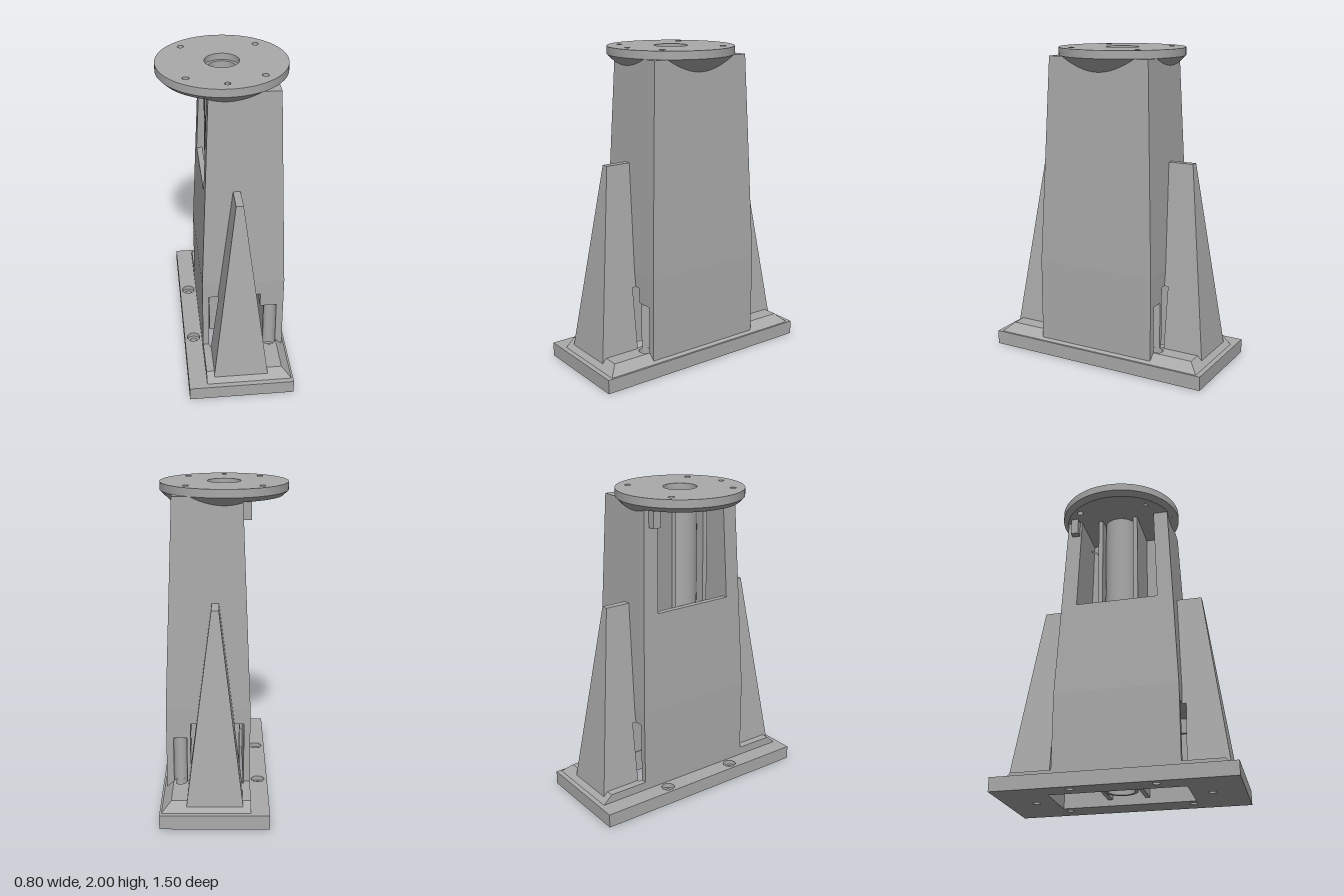
import * as THREE from 'three';
import { toCreasedNormals } from 'three/addons/utils/BufferGeometryUtils.js';

export function createModel() {
  const group = new THREE.Group();
  const grey = new THREE.MeshStandardMaterial({ color: 0xaaaaaa, side: THREE.DoubleSide });

  const add = (name, geometry) => {
    const mesh = new THREE.Mesh(toCreasedNormals(geometry, 0.5), grey);
    mesh.name = name;
    group.add(mesh);
    return mesh;
  };

  // Move every vertex by a rule
  const warp = (geometry, rule) => {
    const p = geometry.attributes.position;
    const v = new THREE.Vector3();
    for (let i = 0; i < p.count; i++) {
      rule(v.fromBufferAttribute(p, i));
      p.setXYZ(i, v.x, v.y, v.z);
    }
    geometry.computeVertexNormals();
    return geometry;
  };

  // Plan outlines, drawn as (x, -z)
  const polygon = (points) => new THREE.Shape(points.map(([x, y]) => new THREE.Vector2(x, y)));
  const rect = (x0, x1, z) => polygon([[x0, -z], [x1, -z], [x1, z], [x0, z]]);
  const circle = (x, z, r) => new THREE.Shape().absarc(x, -z, r, 0, Math.PI * 2, false);
  const pairs = (x, z, r) => [circle(x, z, r), circle(x, -z, r)];

  // Vertical slab from a plan outline
  const slab = (shape, holes, y0, y1, segments = 16) => {
    shape.holes = holes;
    const g = new THREE.ExtrudeGeometry(shape, { depth: y1 - y0, bevelEnabled: false, curveSegments: segments });
    return g.rotateX(-Math.PI / 2).translate(0, y0, 0);
  };

  const shaft = () => rect(-0.125, 0.21, 0.425);

  // Base plate with bolt holes and counterbores
  add('basePlateLower', slab(rect(-0.28, 0.39, 0.75),
    [shaft(), ...pairs(0.275, 0.4, 0.024), ...pairs(-0.22, 0.26, 0.024), ...pairs(0.04, 0.55, 0.024)], 0, 0.06));
  add('basePlateUpper', slab(rect(-0.28, 0.39, 0.75),
    [shaft(), ...pairs(0.275, 0.4, 0.024), ...pairs(-0.22, 0.26, 0.042)], 0.06, 0.09));

  // Plinth, sloped on three sides
  add('plinth', warp(slab(rect(-0.165, 0.378, 0.718), [shaft(), ...pairs(0.275, 0.4, 0.042)], 0.09, 0.145), (v) => {
    if (v.y < 0.14) return;
    if (v.x > 0.35) v.x = 0.32;
    if (Math.abs(v.z) > 0.6) v.z = Math.sign(v.z) * 0.66;
  }));

  // Lower tower: two side walls beside the open shaft
  const notched = new THREE.Shape();
  notched.moveTo(0.21, -0.4);
  notched.absarc(0.275, -0.4, 0.042, Math.PI, 0, true);
  notched.lineTo(0.362, -0.4);
  notched.lineTo(0.362, 0.4);
  notched.absarc(0.275, 0.4, 0.042, 0, -Math.PI, true);
  notched.lineTo(0.21, 0.4);
  add('lowerWallNotched', slab(notched, [], 0.1, 0.445));
  add('lowerWallRight', slab(rect(0.21, 0.362, 0.4), [], 0.445, 0.54));
  add('lowerWallLeft', slab(rect(-0.165, -0.125, 0.4), [], 0.09, 0.54));

  // Upper tower: hollow, tapering, with a tall opening in the -x face
  const taper = (v) => {
    const t = Math.max(0, (v.y - 0.64) / 1.31);
    v.x = 0.1 + (v.x - 0.1) * (1 - 0.2 * t);
    v.z *= 1 - 0.1375 * t;
  };
  const outline = () => rect(-0.165, 0.362, 0.4);
  const cavity = () => rect(-0.125, 0.25, 0.29);
  add('towerCollar', slab(outline(), [cavity()], 0.54, 0.64));
  add('towerMiddle', warp(slab(outline(), [cavity()], 0.64, 1.27), taper));
  const channel = polygon([[-0.165, -0.4], [0.362, -0.4], [0.362, 0.4], [-0.165, 0.4],
    [-0.165, 0.29], [0.25, 0.29], [0.25, -0.29], [-0.165, -0.29]]);
  add('towerTop', warp(slab(channel, [], 1.27, 1.95), taper));

  // Inner tube and the webs either side of it
  const tube = [[0.085, 0.03], [0.105, 0.03], [0.105, 1.96], [0.085, 1.96], [0.085, 0.03]];
  add('innerTube', new THREE.LatheGeometry(tube.map(([r, y]) => new THREE.Vector2(r, y)), 40));
  for (const s of [-1, 1]) {
    add('innerWeb', new THREE.BoxGeometry(0.32, 1.88, 0.03).translate(0.06, 0.98, s * 0.12));
  }

  // Buttresses on the front and back, cut back beside the shaft
  for (const s of [-1, 1]) {
    for (const [y0, y1, inner] of [[0.1, 0.54, 0.425], [0.54, 1.312, 0.33]]) {
      add('buttress', warp(new THREE.BoxGeometry(1, 1, 1).toNonIndexed(), (v) => {
        const y = v.y > 0 ? y1 : y0;
        const t = (y - 0.12) / 1.192;
        const outer = 0.688 - 0.153 * t;
        v.set(v.x < 0 ? -0.118 + 0.148 * t : 0.227 - 0.152 * t, y, s * (v.z * s > 0 ? outer : inner));
      }));
    }
  }

  // Round top flange with bolt holes and a dowel hole
  const bolts = () => [...pairs(0.23, 0.232, 0.02), ...pairs(-0.23, 0.232, 0.02)];
  add('flange', slab(circle(0, 0, 0.4), [circle(0, 0, 0.105), circle(0, 0.325, 0.018), ...bolts()], 1.95, 2, 40));
  add('flangeChamfer', warp(slab(circle(0, 0, 0.4), [circle(0, 0, 0.105), ...bolts()], 1.92, 1.95, 40), (v) => {
    if (v.y < 1.93 && Math.hypot(v.x, v.z) > 0.38) {
      v.x *= 0.925;
      v.z *= 0.925;
    }
  }));

  // Cone blending the flange into the tower
  add('flangeCone', new THREE.LatheGeometry(
    [new THREE.Vector2(0.28, 1.83), new THREE.Vector2(0.37, 1.92)], 48, -0.3, Math.PI + 0.6));

  // Small lug under the flange
  add('lug', new THREE.BoxGeometry(0.06, 0.11, 0.05).translate(-0.135, 1.865, -0.29));

  return group;
}
